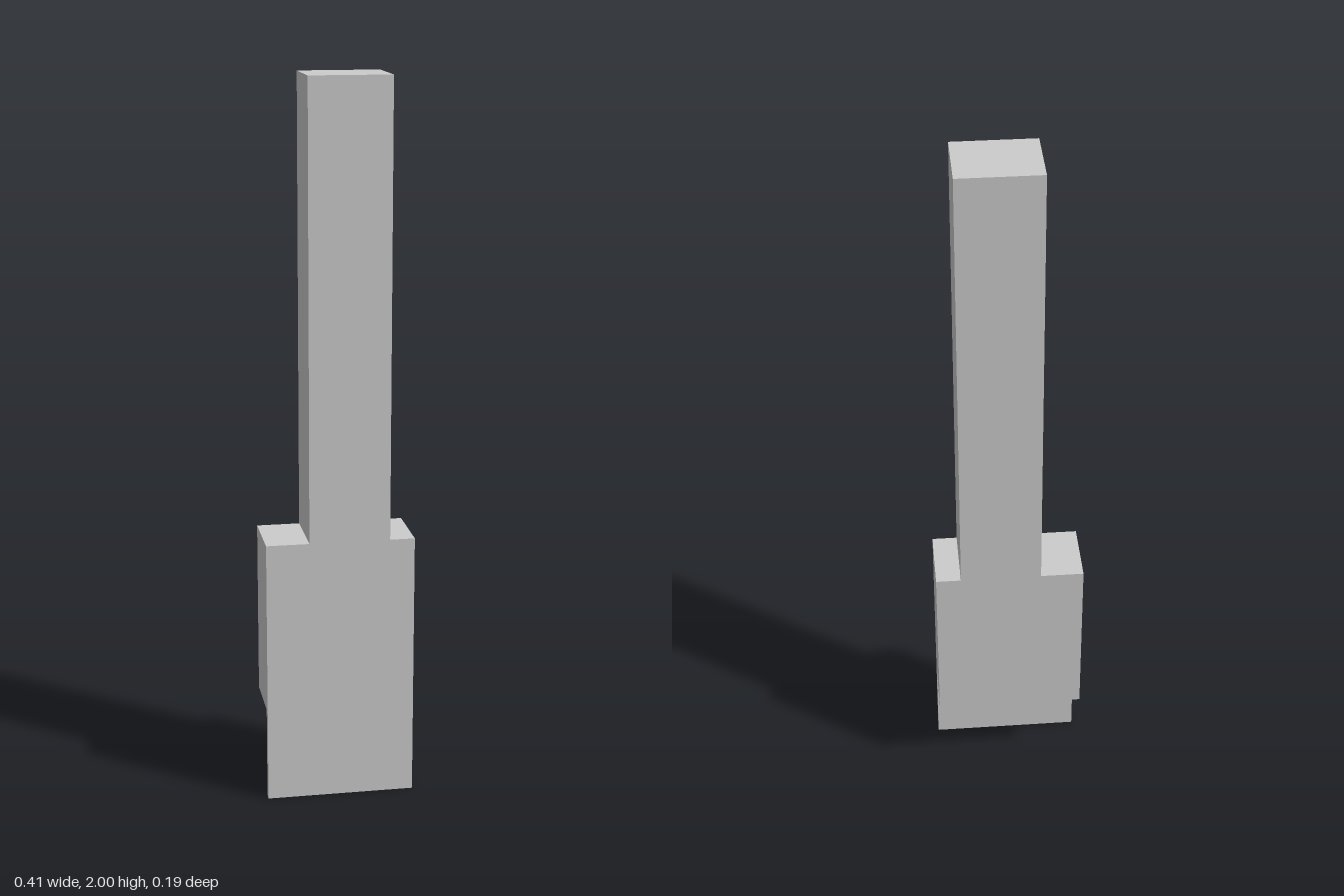
import * as THREE from 'three';

const HALF_W = 0.206, HALF_D = 0.094;      // overall half width and half depth
const LIP_TOP = 0.26, SHOULDER = 0.747, TOP = 2;
const SHAFT_L = -0.087, SHAFT_R = 0.137;   // the shaft sits off centre
const LIP_T = 0.022;

export function createModel() {
  const model = new THREE.Group();
  const material = new THREE.MeshStandardMaterial({ color: 0xcccccc, flatShading: true });

  // Wide block and shaft as one stepped outline
  const outline = new THREE.Shape([
    [-HALF_W, LIP_TOP], [HALF_W, LIP_TOP], [HALF_W, SHOULDER], [SHAFT_R, SHOULDER],
    [SHAFT_R, TOP], [SHAFT_L, TOP], [SHAFT_L, SHOULDER], [-HALF_W, SHOULDER],
  ].map(([x, y]) => new THREE.Vector2(x, y)));
  const bodyGeometry = new THREE.ExtrudeGeometry(outline, { depth: 2 * HALF_D, bevelEnabled: false });
  bodyGeometry.translate(0, 0, -HALF_D);
  const body = new THREE.Mesh(bodyGeometry, material);
  body.name = 'blockAndShaft';

  // Thin plate hanging flush with the front face
  const lip = new THREE.Mesh(new THREE.BoxGeometry(2 * HALF_W, LIP_TOP, LIP_T), material);
  lip.position.set(0, LIP_TOP / 2, HALF_D - LIP_T / 2);
  lip.name = 'frontLip';

  model.add(body, lip);
  return model;
}
